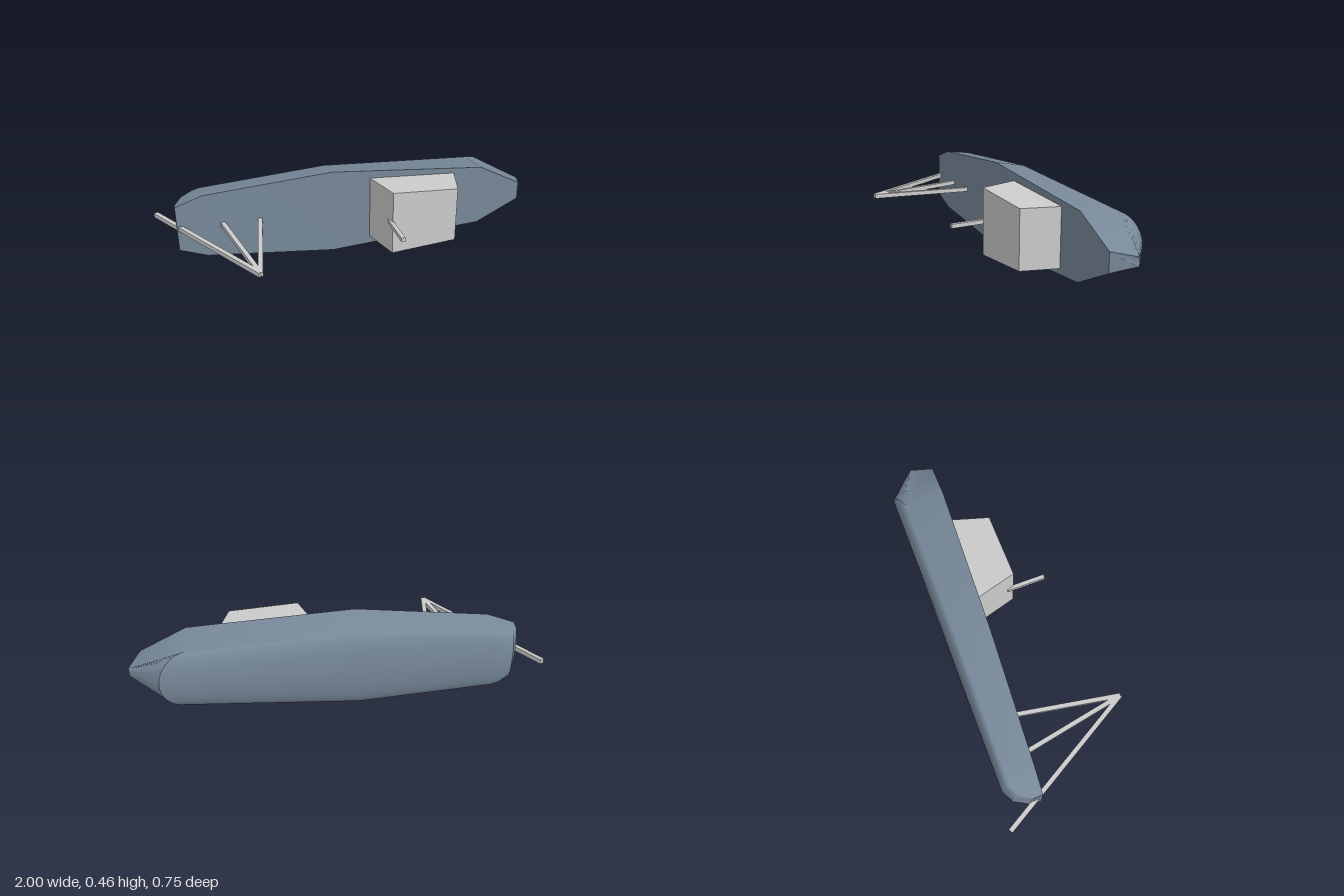
import * as THREE from 'three';
import { toCreasedNormals } from 'three/addons/utils/BufferGeometryUtils.js';

const MID = 0.229; // centre line of the craft in y

const hullPaint = new THREE.MeshStandardMaterial({ color: 0x778899 });
const grey = new THREE.MeshStandardMaterial({ color: 0xcccccc });

// Hull lofted through cross-sections: deck edge, chine, then a rounded bottom.
function hullGeometry() {
  // [deck x, deck half width, deck z, chine x, chine half width, chine z, keel x, keel z]
  const stations = [
    [-0.9, 0.122, -0.175, -0.9, 0.112, -0.215, -0.9, -0.24],
    [-0.86, 0.136, -0.173, -0.86, 0.124, -0.28, -0.86, -0.315],
    [-0.8, 0.158, -0.17, -0.8, 0.141, -0.308, -0.8, -0.343],
    [-0.76, 0.172, -0.168, -0.76, 0.152, -0.308, -0.76, -0.344],
    [-0.1, 0.229, -0.132, -0.1, 0.196, -0.299, -0.1, -0.344],
    [0.72, 0.166, -0.094, 0.72, 0.144, -0.29, 0.85, -0.344],
    [0.95, 0.048, -0.085, 1.0, 0.022, -0.2, 0.998, -0.208],
  ];
  const steps = 20;
  const positions = [];
  for (const [dx, dw, dz, cx, cw, cz, kx, kz] of stations) {
    positions.push(dx, MID + dw, dz);
    for (let k = 0; k <= steps; k++) {
      const a = (k / steps) * Math.PI;
      const s = Math.sin(a);
      positions.push(cx + (kx - cx) * s, MID + cw * Math.cos(a), cz + (kz - cz) * s);
    }
    positions.push(dx, MID - dw, dz);
  }
  const n = steps + 3;
  const last = (stations.length - 1) * n;
  const index = [];
  for (let i = 0; i < stations.length - 1; i++) {
    for (let j = 0; j < n; j++) {
      const a = i * n + j, b = i * n + ((j + 1) % n);
      index.push(a, a + n, b, b, a + n, b + n);
    }
  }
  // transom and stem
  for (let j = 1; j < n - 1; j++) {
    index.push(0, j, j + 1);
    index.push(last, last + j + 1, last + j);
  }
  const g = new THREE.BufferGeometry();
  g.setAttribute('position', new THREE.Float32BufferAttribute(positions, 3));
  g.setIndex(index);
  return toCreasedNormals(g, 0.5);
}

// Cabin: a box tapering away from the deck and narrowing toward the bow.
function cabinGeometry() {
  const g = new THREE.BoxGeometry(2, 2, 2).toNonIndexed();
  const p = g.attributes.position;
  for (let i = 0; i < p.count; i++) {
    const roof = p.getZ(i) > 0, fore = p.getX(i) > 0;
    const x = fore ? (roof ? 0.51 : 0.575) : (roof ? 0.16 : 0.1);
    const half = fore ? 0.149 : 0.172;
    p.setXYZ(i, x, MID + p.getY(i) * half, roof ? 0.085 : -0.13);
  }
  g.computeVertexNormals();
  return g;
}

// Square bar between two [x, z] points on the centre line.
function bar(name, [x0, z0], [x1, z1], thick = 0.023) {
  const dx = x1 - x0, dz = z1 - z0;
  const mesh = new THREE.Mesh(new THREE.BoxGeometry(Math.hypot(dx, dz), thick, thick), grey);
  mesh.position.set((x0 + x1) / 2, MID, (z0 + z1) / 2);
  mesh.rotation.y = -Math.atan2(dz, dx);
  mesh.name = name;
  return mesh;
}

export function createModel() {
  const model = new THREE.Group();
  model.name = 'boat';

  const hull = new THREE.Mesh(hullGeometry(), hullPaint);
  hull.name = 'hull';
  const cabin = new THREE.Mesh(cabinGeometry(), grey);
  cabin.name = 'cabin';
  model.add(hull, cabin, bar('mast', [0.155, 0.05], [0.155, 0.256], 0.021));

  // Stern gantry: one long boom and two struts meeting at the peak
  const gantry = new THREE.Group();
  gantry.name = 'gantry';
  const peak = [-0.575, 0.37];
  gantry.add(
    bar('boom', [-0.99, -0.37], peak),
    bar('aftStrut', [-0.675, -0.19], peak),
    bar('foreStrut', [-0.475, -0.18], peak),
  );
  model.add(gantry);
  return model;
}
